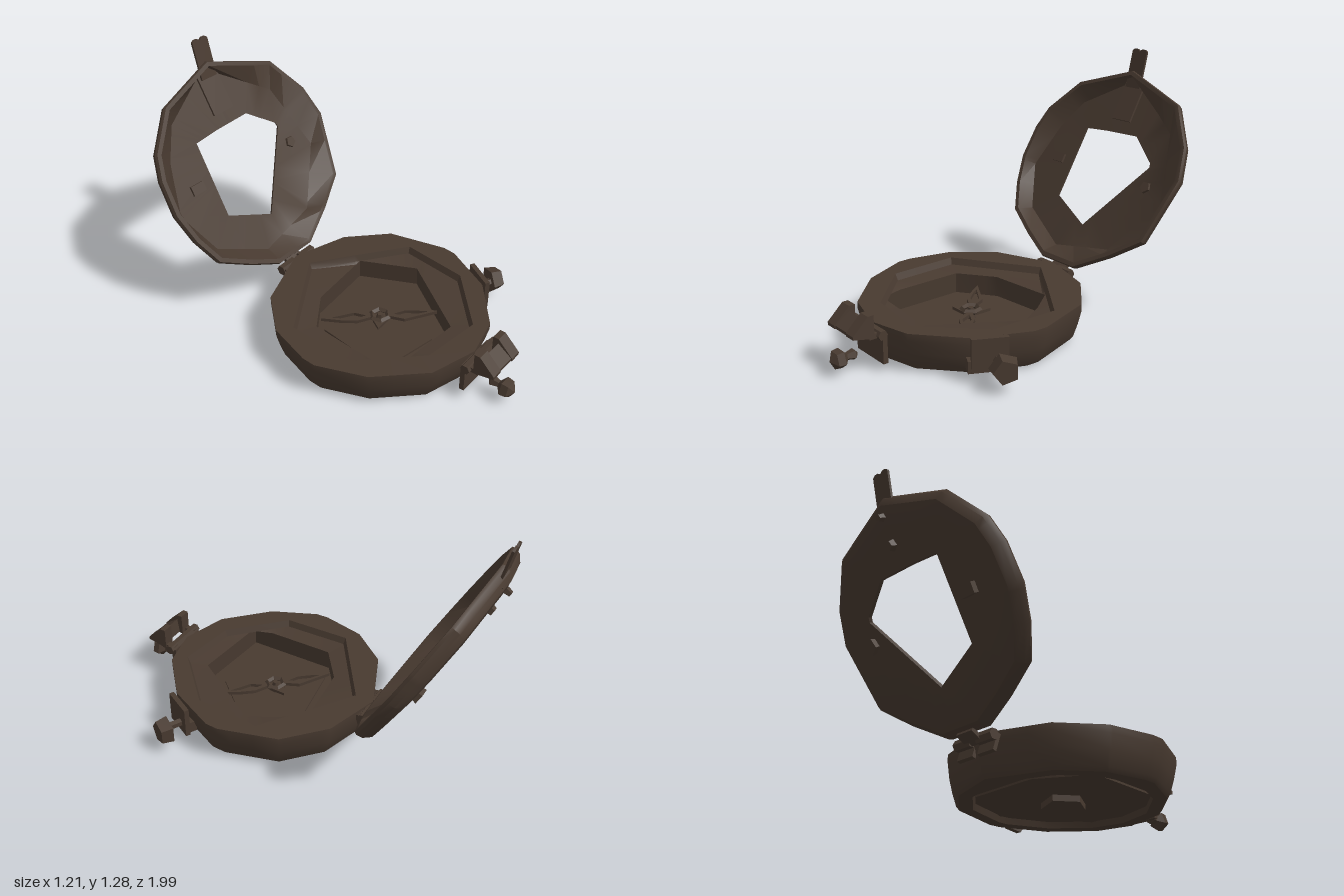
import * as THREE from 'three';
import { toCreasedNormals } from 'three/addons/utils/BufferGeometryUtils.js';

const bronze = new THREE.MeshStandardMaterial({ color: 0x483a30, side: THREE.DoubleSide });
bronze.name = 'dark bronze';

function add(parent, name, geo, x = 0, y = 0, z = 0, rx = 0, ry = 0, rz = 0) {
  const m = new THREE.Mesh(toCreasedNormals(geo, 0.6), bronze);
  m.name = name;
  m.position.set(x, y, z);
  m.rotation.set(rx, ry, rz);
  parent.add(m);
  return m;
}

// Distance from the centre to a polygon's edge along an angle
function reach(poly, c, t) {
  const dx = Math.cos(t), dz = Math.sin(t);
  let best = 0;
  poly.forEach((p, i) => {
    const q = poly[(i + 1) % poly.length];
    const ex = q[0] - p[0], ez = q[1] - p[1], px = p[0] - c[0], pz = p[1] - c[1];
    const den = dx * ez - dz * ex;
    if (Math.abs(den) < 1e-9) return;
    const r = (px * ez - pz * ex) / den, s = (px * dz - pz * dx) / den;
    if (s >= -1e-6 && s <= 1 + 1e-6 && r > best) best = r;
  });
  return best;
}

// Closed ring lofted through polygon loops [polygon, scale, height]
function ring(c, loops) {
  let ang = [];
  for (const [poly] of loops) for (const p of poly) ang.push(Math.atan2(p[1] - c[1], p[0] - c[0]));
  ang.sort((a, b) => a - b);
  ang = ang.filter((a, i) => i === 0 || a - ang[i - 1] > 0.01);
  const pos = [], idx = [], n = ang.length, k = loops.length;
  for (const [poly, s, h] of loops) {
    for (const t of ang) {
      const r = reach(poly, c, t) * s;
      pos.push(c[0] + r * Math.cos(t), h, c[1] + r * Math.sin(t));
    }
  }
  for (let i = 0; i < k; i++) {
    for (let j = 0; j < n; j++) {
      const i2 = (i + 1) % k, j2 = (j + 1) % n;
      const A = i * n + j, B = i2 * n + j, C = i2 * n + j2, D = i * n + j2;
      idx.push(A, B, C, A, C, D);
    }
  }
  const g = new THREE.BufferGeometry();
  g.setAttribute('position', new THREE.Float32BufferAttribute(pos, 3));
  g.setIndex(idx);
  return g;
}

const shapeOf = pts => new THREE.Shape(pts.map(p => new THREE.Vector2(p[0], p[1])));
const extrude = (shape, depth) => new THREE.ExtrudeGeometry(shape, { depth, bevelEnabled: false });
// Flat slab lying in xz, rising by depth
const slab = (pts, depth) => extrude(shapeOf(pts.map(p => [p[0], -p[1]])), depth).rotateX(-Math.PI / 2);

function makeBase(root) {
  const base = new THREE.Group();
  base.name = 'base';
  root.add(base);
  const c = [-0.045, 0.2];
  const outline = [[-.05, -.37], [.24, -.28], [.43, -.1], [.51, .2], [.505, .27], [.38, .53], [.16, .72],
    [-.05, .77], [-.29, .7], [-.5, .49], [-.6, .25], [-.6, .18], [-.54, -.05], [-.38, -.24]];
  const lip = [[-.045, -.275], [.4, .05], [.37, .4], [.1, .66], [-.21, .62], [-.47, .36], [-.47, 0]];
  const well = [[-.36, .05], [-.18, -.08], [.18, -.115], [.32, .16], [.06, .56], [-.37, .52]];
  add(base, 'caseRing', ring(c, [
    [outline, .9, .01], [outline, .93, .03], [outline, .97, .1], [outline, 1, .17], [outline, 1, .205],
    [lip, 1, .205], [lip, .97, .17], [well, 1, .16], [well, 1.02, .04], [outline, .76, .04], [outline, .78, .01]]));
  // Dial floor and bottom cap
  add(base, 'dialFloor', slab([[-.4, .02], [-.15, -.13], [.22, -.12], [.36, .18], [.1, .58], [-.39, .54]], .02), 0, .03, 0);
  add(base, 'bottomCap', slab([[-.15, .2], [-.07, .1], [.06, .16], [.05, .28], [-.08, .32]], .03), 0, 0, 0);
  add(base, 'dialPlate', slab([[-.27, .02], [.16, -.04], [.27, .2], [.02, .48], [-.3, .42]], .01), 0, .05, 0);

  // Compass needle: two hollow blades, a hub and side spikes
  const needle = new THREE.Group();
  needle.name = 'needle';
  needle.position.set(-.045, .09, .2);
  needle.rotation.y = Math.PI / 4;
  base.add(needle);
  for (const s of [1, -1]) {
    const blade = shapeOf([[.012, .04], [.045, .12], [.025, .2], [0, .3], [-.025, .2], [-.035, .12], [-.012, .04]]);
    blade.holes.push(shapeOf([[0, .07], [-.018, .13], [-.01, .2], [0, .25], [.01, .2], [.026, .13]]));
    add(needle, 'needleBlade', extrude(blade, .018), 0, 0, 0, -Math.PI / 2, 0, s > 0 ? 0 : Math.PI);
    add(needle, 'needleSpike', slab([[s * .03, -.04], [s * .095, -.02], [s * .03, .04]], .015));
  }
  add(needle, 'needleHub', new THREE.TorusGeometry(.045, .014, 4, 6), 0, .015, 0, Math.PI / 2);
  add(needle, 'needlePivot', new THREE.CylinderGeometry(.015, .03, .07, 5), 0, -.01, 0);
}

function makeLid(root) {
  const lid = new THREE.Group();
  lid.name = 'lid';
  lid.position.set(0, .675, -.688);
  lid.rotation.x = Math.PI / 3;
  root.add(lid);
  const flat = y0 => p => [p[0], -(p[1] - y0) / .866];
  const c = [-.04, 0];
  const outline = [[-.05, 1.17], [.33, 1.05], [.47, .87], [.515, .72], [.44, .42], [.27, .31], [.08, .21],
    [-.16, .21], [-.32, .28], [-.49, .37], [-.56, .5], [-.6, .64], [-.59, .8], [-.55, .91], [-.39, 1.07]].map(flat(.69));
  const hole = [[-.27, .83], [-.12, .84], [.09, .845], [.245, .74], [.25, .72], [-.03, .38], [-.28, .48]].map(flat(.655));
  const panel = [[-.05, 1.12], [.3, .9], [.41, .58], [.2, .32], [-.15, .26], [-.43, .39], [-.54, .6],
    [-.46, .82], [-.36, .96]].map(flat(.665));
  add(lid, 'lidRing', ring(c, [
    [hole, 1.02, -.045], [outline, .8, -.047], [outline, .93, -.035], [outline, .985, -.005], [outline, 1, .025],
    [outline, .99, .04], [outline, .95, .04], [panel, 1, -.025], [hole, 1, -.03]]));
  // Studs through the lid, rivets and the sight plate
  add(lid, 'leftStud', new THREE.CylinderGeometry(.03, .042, .06, 5), .28, -.045, .03);
  add(lid, 'rightStud', new THREE.BoxGeometry(.08, .06, .05), -.38, -.045, 0);
  add(lid, 'largeRivet', new THREE.CylinderGeometry(.03, .022, .03, 5), -.05, -.058, -.33);
  add(lid, 'smallRivet', new THREE.CylinderGeometry(.02, .015, .03, 5), -.05, -.058, -.46);
  add(lid, 'sightPlate', new THREE.BoxGeometry(.13, .012, .22), -.045, -.018, -.395);

  // Notched tab at the tip
  const tab = shapeOf([[-.05, -.08], [.05, -.08], [.05, .12], [.035, .13], [.015, .13], [0, .118],
    [-.015, .13], [-.035, .13], [-.05, .12]]);
  add(root, 'lidTab', extrude(tab, .012), -.045, 1.155, -.957, -.24);
}

function makeFittings(root) {
  // Rear hinge
  const hinge = new THREE.Group();
  hinge.name = 'hinge';
  root.add(hinge);
  for (const s of [-1, 1]) {
    add(hinge, 'hingeKnuckle', new THREE.CylinderGeometry(.028, .028, .1, 6), -.045 + s * .07, .175, -.37, 0, 0, Math.PI / 2);
    add(hinge, 'hingeLeaf', new THREE.BoxGeometry(.1, .09, .02), -.045 + s * .065, .145, -.35, .3);
  }
  add(hinge, 'hingePin', new THREE.CylinderGeometry(.013, .013, .24, 6), -.045, .175, -.37, 0, 0, Math.PI / 2);
  add(hinge, 'lidLeaf', new THREE.BoxGeometry(.1, .02, .08), -.045, .18, -.4, .5);

  // Front clasp: plate, cross bar and notched wedge
  const clasp = new THREE.Group();
  clasp.name = 'clasp';
  root.add(clasp);
  add(clasp, 'claspPlate', new THREE.BoxGeometry(.22, .15, .025), -.045, .115, .777);
  add(clasp, 'claspBar', new THREE.CylinderGeometry(.025, .025, .25, 6), -.045, .19, .795, 0, 0, Math.PI / 2);
  for (const s of [-1, 1]) {
    const side = shapeOf([[.83, .18], [.94, .205], [.94, .22], [.86, .295], [.83, .295]]);
    add(clasp, 'claspEar', extrude(side, .06).rotateY(-Math.PI / 2), -.045 + s * .078 + .03, 0, 0);
    add(clasp, 'claspArm', new THREE.BoxGeometry(.03, .025, .08), -.045 + s * .09, .19, .815);
  }
  const web = shapeOf([[.85, .19], [.935, .205], [.935, .22], [.86, .27]]);
  add(clasp, 'claspWeb', extrude(web, .1).rotateY(-Math.PI / 2), .005, 0, 0);

  // Pointed front knob
  const frontKnob = new THREE.LatheGeometry(
    [[0, 0], [.028, .02], [.018, .06], [.05, .085], [.045, .12], [0, .145]].map(p => new THREE.Vector2(...p)), 5);
  add(root, 'frontKnob', frontKnob, -.045, .08, .857, Math.PI / 2);

  // Side button with its mounting plate
  const crown = new THREE.Group();
  crown.name = 'sideButton';
  crown.position.set(.44, .11, .475);
  crown.rotation.y = -.5;
  root.add(crown);
  add(crown, 'buttonPlate', new THREE.BoxGeometry(.025, .16, .17), 0, .025, 0);
  add(crown, 'buttonFoot', new THREE.BoxGeometry(.06, .06, .16), -.03, -.035, .02);
  add(crown, 'buttonStem', new THREE.CylinderGeometry(.02, .02, .09, 5), .045, 0, -.03, 0, 0, Math.PI / 2);
  add(crown, 'buttonHead', new THREE.CylinderGeometry(.06, .07, .06, 5), .115, 0, -.045, 0, 0, -Math.PI / 2);
}

export function createModel() {
  const root = new THREE.Group();
  root.name = 'pocketCompass';
  makeBase(root);
  makeLid(root);
  makeFittings(root);
  return root;
}
